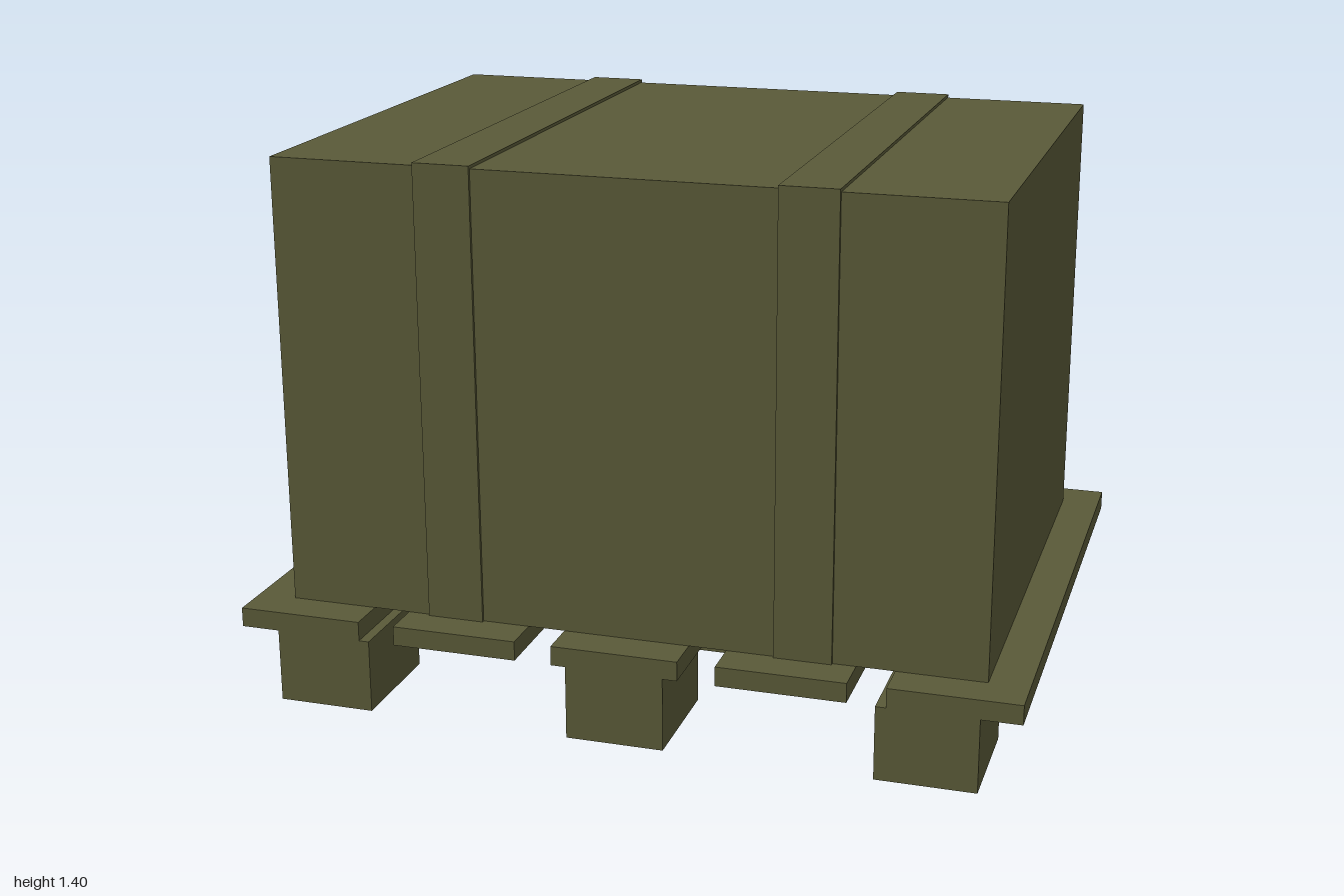
import * as THREE from 'three';

const olive = new THREE.MeshStandardMaterial({ color: 0x5a5a38 });

// Box placed by its centre in x and z and its bottom and top heights
function addBox(parent, name, x, z, width, depth, bottom, top) {
  const mesh = new THREE.Mesh(new THREE.BoxGeometry(width, top - bottom, depth), olive);
  mesh.position.set(x, (bottom + top) / 2, z);
  mesh.name = name;
  parent.add(mesh);
}

// Flat band running up the front, over the top and down the back of the crate
function strapGeometry(halfDepth, bottom, top, thickness, width) {
  const inner = halfDepth - thickness;
  const shape = new THREE.Shape([
    [-halfDepth, bottom], [-inner, bottom], [-inner, top - thickness], [inner, top - thickness],
    [inner, bottom], [halfDepth, bottom], [halfDepth, top], [-halfDepth, top],
  ].map(([z, y]) => new THREE.Vector2(z, y)));
  const geometry = new THREE.ExtrudeGeometry(shape, { depth: width, bevelEnabled: false });
  return geometry.translate(0, 0, -width / 2).rotateY(Math.PI / 2);
}

export function createModel() {
  const model = new THREE.Group();
  model.name = 'palletWithCrate';

  // Pallet: nine feet under five deck planks
  const pallet = new THREE.Group();
  pallet.name = 'pallet';
  model.add(pallet);
  for (const x of [-0.775, 0, 0.775]) {
    for (const z of [-0.6, 0, 0.6]) addBox(pallet, 'foot', x, z, 0.25, 0.3, 0, 0.19);
  }
  for (let i = -2; i <= 2; i++) addBox(pallet, 'plank', i * 0.419, 0, 0.324, 1.5, 0.19, 0.24);

  // Crate
  addBox(model, 'crate', 0, 0, 1.8, 1.3, 0.24, 1.395);

  // Two straps around the crate
  const strap = strapGeometry(0.658, 0.24, 1.403, 0.008, 0.145);
  for (const x of [-0.45, 0.45]) {
    const mesh = new THREE.Mesh(strap, olive);
    mesh.position.x = x;
    mesh.name = 'strap';
    model.add(mesh);
  }
  return model;
}
